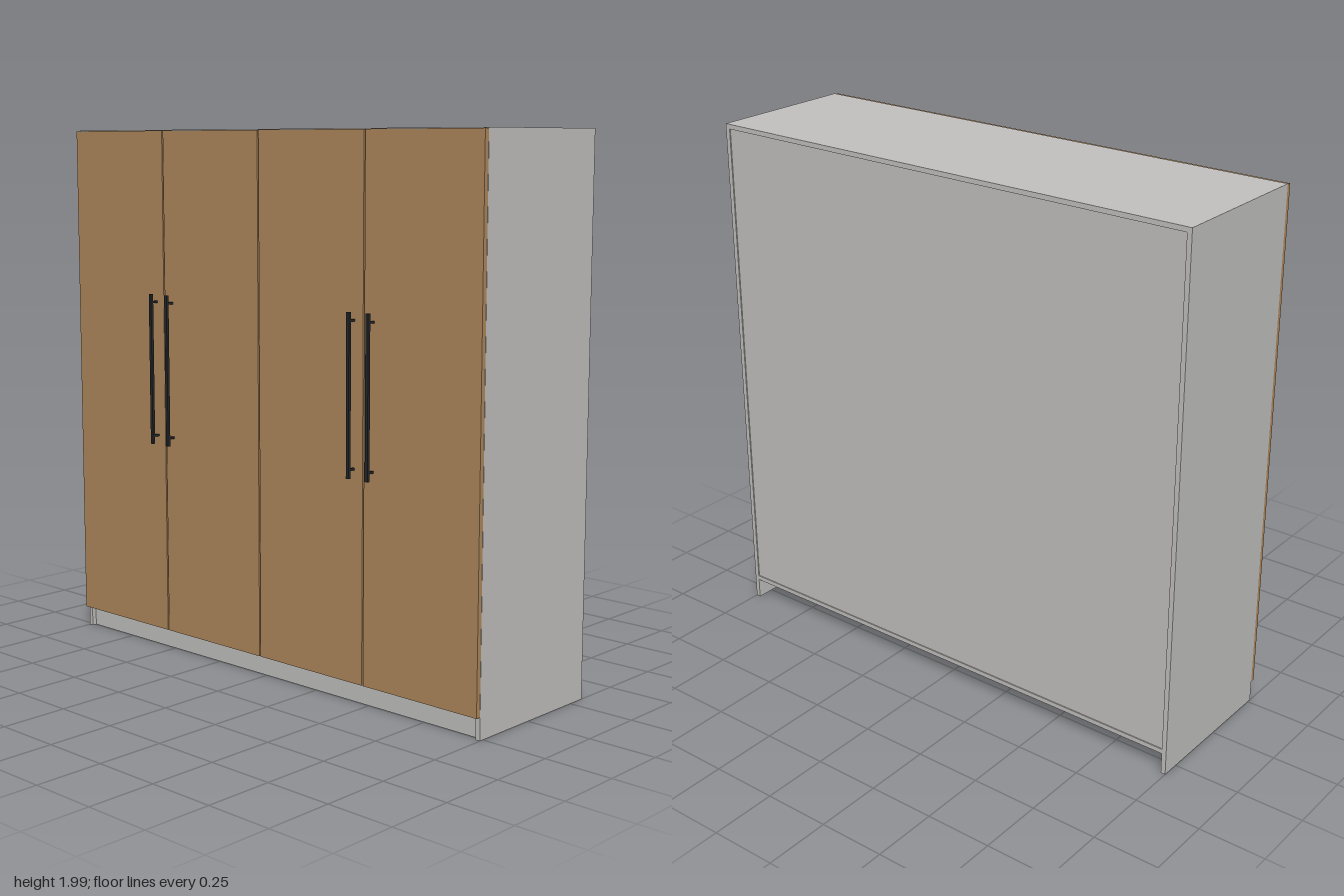
import * as THREE from 'three';

export function createModel() {
  const carcassGrey = new THREE.MeshStandardMaterial({ color: 0xc2c1bf });
  carcassGrey.name = 'carcassGrey';
  const doorWood = new THREE.MeshStandardMaterial({ color: 0xb0895d });
  doorWood.name = 'doorWood';
  const handleBlack = new THREE.MeshStandardMaterial({ color: 0x24262a });
  handleBlack.name = 'handleBlack';

  const model = new THREE.Group();
  model.name = 'wardrobe';

  // Box given by its minimum and maximum on each axis
  const board = (parent, name, material, [x0, x1], [y0, y1], [z0, z1]) => {
    const mesh = new THREE.Mesh(new THREE.BoxGeometry(x1 - x0, y1 - y0, z1 - z0), material);
    mesh.position.set((x0 + x1) / 2, (y0 + y1) / 2, (z0 + z1) / 2);
    mesh.name = name;
    parent.add(mesh);
  };

  const H = 1.99, T = 0.018, BASE = 0.08;
  const back = -0.318, front = 0.266, doorFront = 0.284;
  const inner = 1 - T;

  // Carcass: sides, top, bottom, back, centre divider and recessed plinth
  const carcass = new THREE.Group();
  carcass.name = 'carcass';
  model.add(carcass);
  board(carcass, 'leftSide', carcassGrey, [inner, 1], [0, H], [back, front]);
  board(carcass, 'rightSide', carcassGrey, [-1, -inner], [0, H], [back, front]);
  board(carcass, 'topPanel', carcassGrey, [-inner, inner], [H - T, H], [back, front]);
  board(carcass, 'bottomPanel', carcassGrey, [-inner, inner], [BASE, BASE + T], [back, front]);
  board(carcass, 'backPanel', carcassGrey, [-inner, inner], [BASE + T, H - T], [back + 0.004, back + 0.014]);
  board(carcass, 'divider', carcassGrey, [-T / 2, T / 2], [BASE + T, H - T], [back + 0.014, front]);
  board(carcass, 'plinth', carcassGrey, [-inner, inner], [0, BASE], [front - 0.036, front - 0.018]);

  // Four doors, each with a bar handle beside the gap at x = -0.5 or 0.5
  const gap = 0.003;
  for (let i = 0; i < 4; i++) {
    const x0 = -1 + i * 0.5;
    const door = new THREE.Group();
    door.name = 'door' + (i + 1);
    model.add(door);
    board(door, 'doorPanel', doorWood,
      [x0 + (i ? gap : 0.001), x0 + 0.5 - (i < 3 ? gap : 0.001)],
      [BASE, H - 0.003], [front, doorFront]);

    const hx = (i < 2 ? -0.5 : 0.5) + (i % 2 ? 0.043 : -0.043);
    board(door, 'handleBar', handleBlack, [hx - 0.006, hx + 0.006], [0.81, 1.38], [0.307, 0.318]);
    for (const y of [0.84, 1.35]) {
      board(door, 'handlePost', handleBlack,
        [hx - 0.004, hx + 0.004], [y - 0.004, y + 0.004], [doorFront, 0.307]);
    }
  }
  return model;
}
